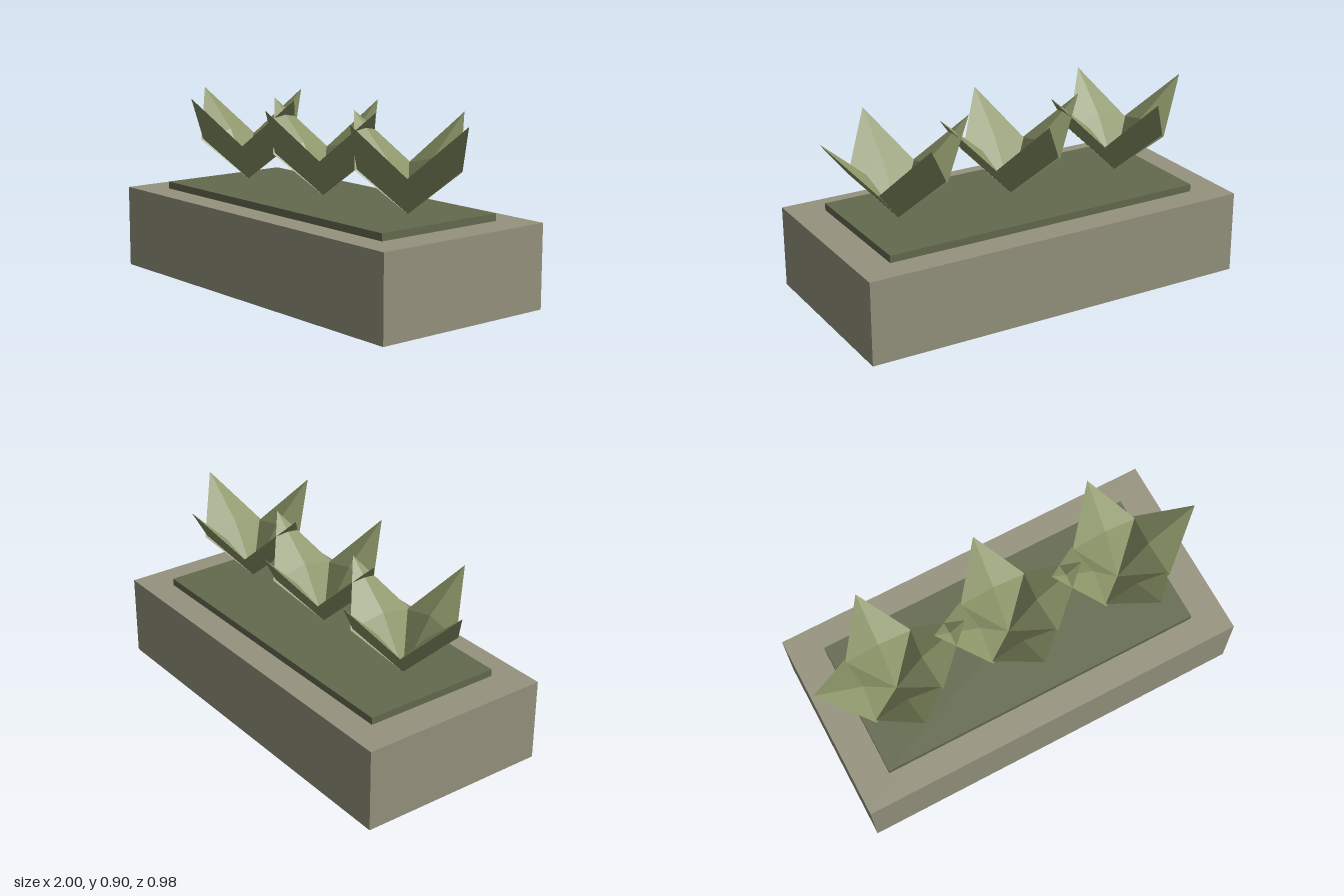
import * as THREE from 'three';

const mat = (name, color) => {
  const m = new THREE.MeshStandardMaterial({ color });
  m.name = name;
  return m;
};

// Folded kite leaf leaning toward +z: flat outer face, ridged inner face
function leafGeometry(reach, cornerOut) {
  const base = [0, 0, 0];
  const tip = [0, 0.445, reach];
  const left = [-0.175, 0.2, cornerOut];
  const right = [0.175, 0.2, cornerOut];
  const ridge = [0, 0.245, 0.153];
  const faces = [
    [base, right, tip], [base, tip, left],
    [tip, right, ridge], [right, base, ridge],
    [base, left, ridge], [left, tip, ridge],
  ];
  const geo = new THREE.BufferGeometry();
  geo.setAttribute('position', new THREE.Float32BufferAttribute(faces.flat(2), 3));
  geo.computeVertexNormals();
  return geo;
}

export function createModel() {
  const model = new THREE.Group();
  model.name = 'planterBox';
  const stone = mat('stone', 0x95927d);
  const soilGreen = mat('soilGreen', 0x646a4e);
  const leafGreen = mat('leafGreen', 0x8b9568);

  const addBox = (name, w, h, d, bottom, material) => {
    const mesh = new THREE.Mesh(new THREE.BoxGeometry(w, h, d), material);
    mesh.name = name;
    mesh.position.y = bottom + h / 2;
    model.add(mesh);
  };

  // Trough and raised soil bed
  addBox('trough', 2, 0.412, 0.978, 0, stone);
  addBox('soilBed', 1.664, 0.036, 0.704, 0.412, soilGreen);

  // Three plants, each with four leaves
  const frontLeaf = leafGeometry(0.352, 0.16);
  const sideLeaf = leafGeometry(0.386, 0.173);
  [-0.614, 0, 0.614].forEach((x) => {
    const plant = new THREE.Group();
    plant.name = 'plant';
    plant.position.set(x, 0.455, 0);
    for (let i = 0; i < 4; i++) {
      const leaf = new THREE.Mesh(i % 2 ? sideLeaf : frontLeaf, leafGreen);
      leaf.name = 'leaf';
      leaf.rotation.y = (i * Math.PI) / 2;
      plant.add(leaf);
    }
    model.add(plant);
  });
  return model;
}
